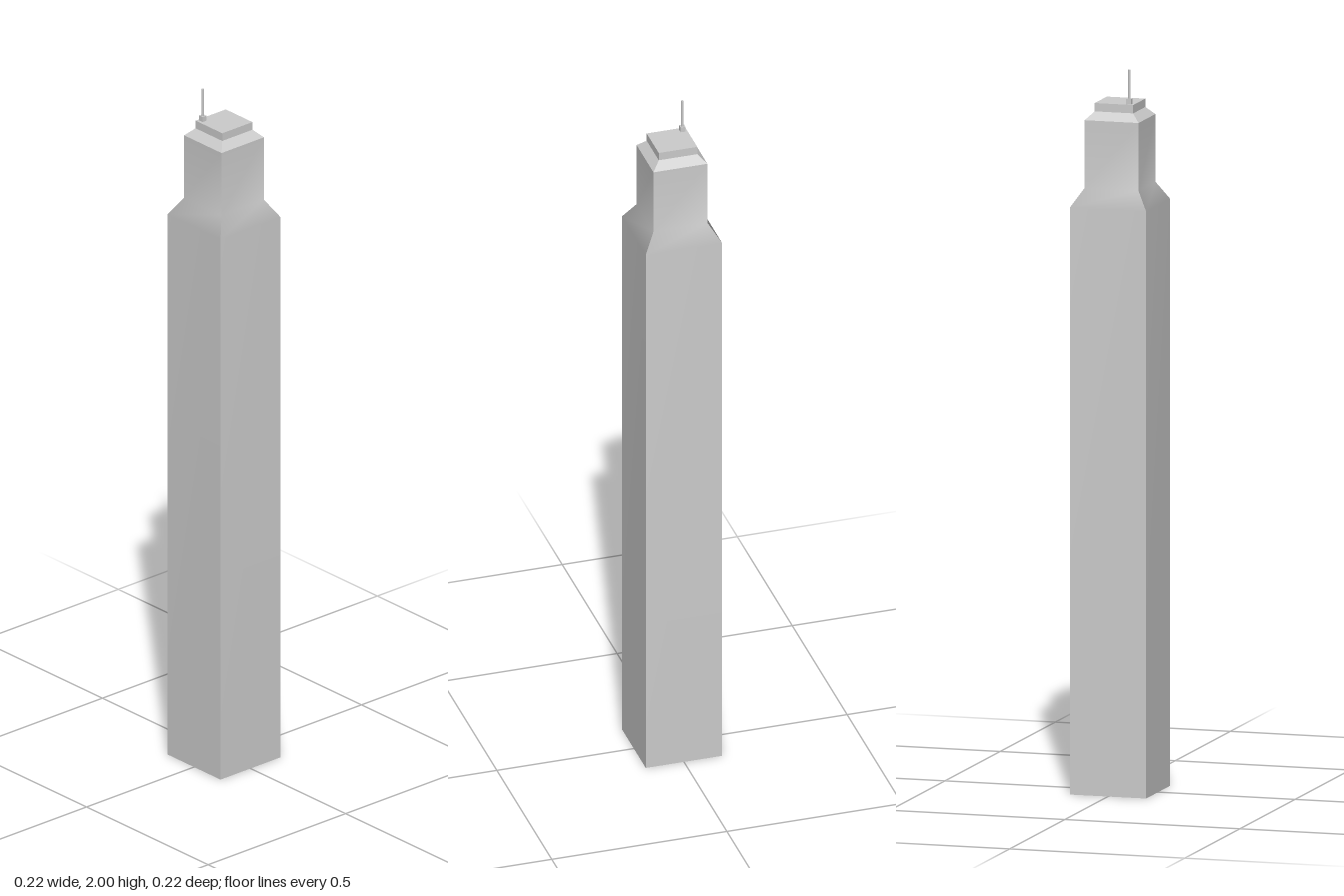
import * as THREE from 'three';

const material = new THREE.MeshStandardMaterial({ color: 0xcccccc, side: THREE.DoubleSide });

// Square shell following a [halfWidth, y] profile: smooth up each side, sharp at the four corners
function squareShell(profile) {
  const positions = [], indices = [];
  const corners = [[-1, 1], [1, 1], [1, -1], [-1, -1]];
  for (let side = 0; side < 4; side++) {
    const base = positions.length / 3;
    for (const [half, y] of profile) {
      for (const [cx, cz] of [corners[side], corners[(side + 1) % 4]]) {
        positions.push(cx * half, y, cz * half);
      }
    }
    for (let i = 0; i < profile.length - 1; i++) {
      const a = base + i * 2;
      indices.push(a, a + 1, a + 3, a, a + 3, a + 2);
    }
  }
  const geometry = new THREE.BufferGeometry();
  geometry.setAttribute('position', new THREE.Float32BufferAttribute(positions, 3));
  geometry.setIndex(indices);
  geometry.computeVertexNormals();
  return geometry;
}

export function createModel() {
  const model = new THREE.Group();
  model.name = 'tower';

  const add = (name, geometry, x = 0, y = 0, z = 0) => {
    const mesh = new THREE.Mesh(geometry, material);
    mesh.name = name;
    mesh.position.set(x, y, z);
    model.add(mesh);
  };

  // Tall shaft, open underneath, with a sloped shoulder up to a narrower neck
  add('shaft', squareShell([[0.109, 0], [0.109, 1.622], [0.077, 1.673], [0.077, 1.86]]));

  // Sloped roof and the flat-topped block above it
  add('roofSlope', squareShell([[0.077, 1.86], [0.055, 1.882]]));
  add('roofBlock', new THREE.BoxGeometry(0.11, 0.023, 0.11), 0, 1.8935, 0);

  // Antenna on one corner of the roof
  const ax = -0.042, az = 0.04, roofY = 1.905;
  add('antennaBase', new THREE.BoxGeometry(0.014, 0.015, 0.014), ax, roofY + 0.0075, az);
  const mastHeight = 2 - roofY;
  add('antennaMast', new THREE.CylinderGeometry(0.0035, 0.0035, mastHeight, 8), ax, roofY + mastHeight / 2, az);

  return model;
}
